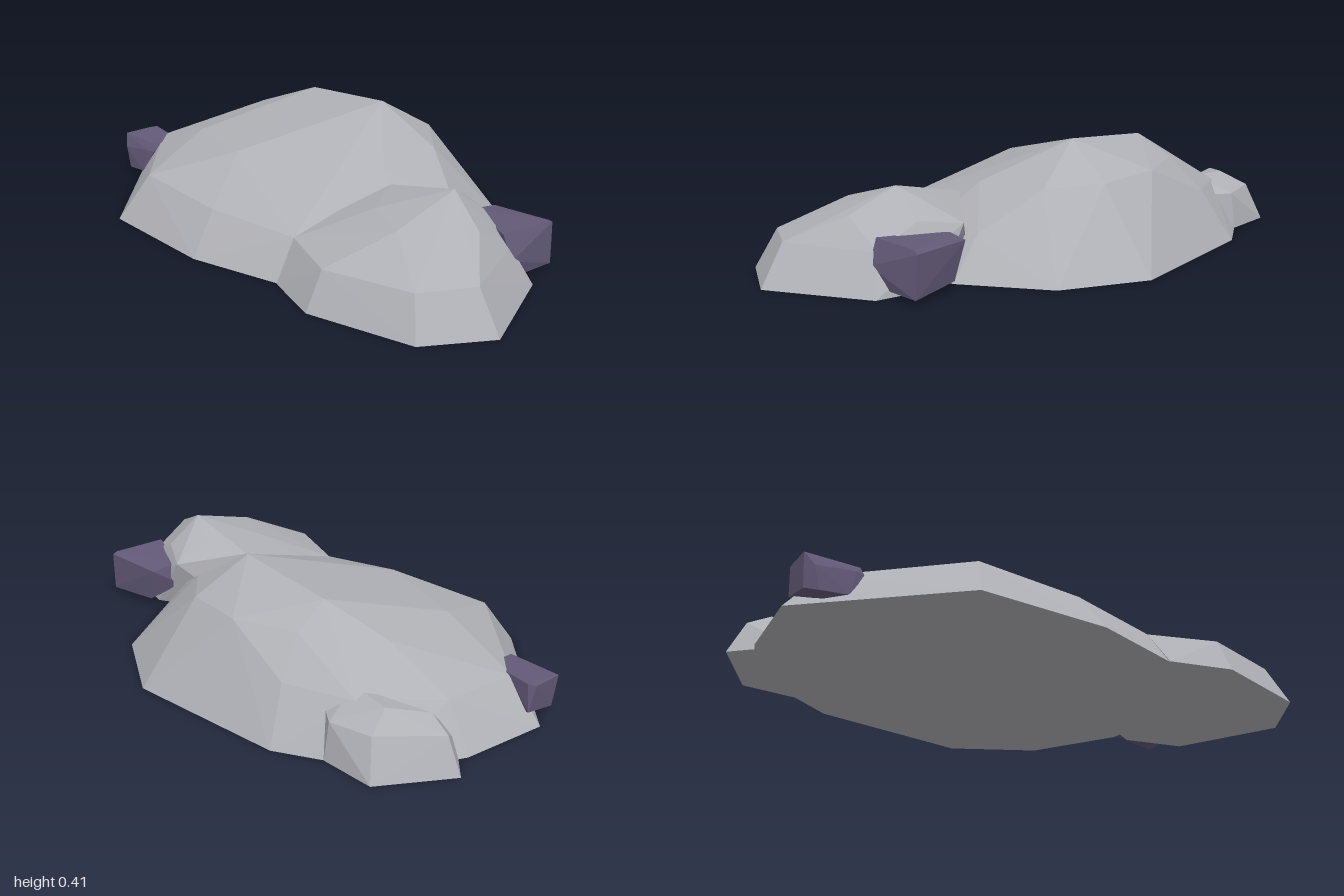
import * as THREE from 'three';
import { ConvexGeometry } from 'three/addons/geometries/ConvexGeometry.js';

export function createModel() {
  const group = new THREE.Group();
  const stone = new THREE.MeshStandardMaterial({ name: 'paleGreyStone', color: 0xb0b1b6, flatShading: true });
  const darkStone = new THREE.MeshStandardMaterial({ name: 'darkPurpleStone', color: 0x635a78, flatShading: true });

  // A faceted rock wrapped around a few [x, y, z] corners
  function rock(name, material, corners) {
    const points = corners.map(([x, y, z]) => new THREE.Vector3(x, y, z));
    const mesh = new THREE.Mesh(new ConvexGeometry(points), material);
    mesh.name = name;
    group.add(mesh);
  }

  // Ground outline given as [x, z] pairs
  const ground = (outline) => outline.map(([x, z]) => [x, 0, z]);

  // Large central mound: ground outline, shoulder ring, crown
  rock('mainMound', stone, [
    ...ground([[-0.51, 0.615], [-0.05, 0.6], [0.3, 0.49], [0.56, 0.15], [0.54, -0.18], [0.36, -0.47],
      [0.07, -0.62], [-0.51, -0.54], [-0.84, -0.34], [-0.94, -0.1], [-0.97, 0.21]]),
    [-0.46, 0.16, 0.51], [-0.08, 0.145, 0.495], [0.26, 0.13, 0.41], [-0.85, 0.14, 0.2],
    [-0.83, 0.15, -0.08], [-0.67, 0.17, -0.33], [-0.45, 0.18, -0.44], [0.42, 0.14, -0.17],
    [-0.21, 0.27, 0.29], [-0.54, 0.25, 0.22], [-0.6, 0.28, -0.12], [-0.4, 0.3, -0.33],
    [-0.18, 0.295, -0.42], [0.05, 0.285, -0.4], [0.21, 0.27, -0.27], [0.24, 0.26, 0.0],
    [-0.38, 0.37, -0.2], [0, 0.405, -0.21],
  ]);

  // Lower mound at the front left
  rock('sideMound', stone, [
    ...ground([[0.28, 0.5], [0.5, 0.555], [0.87, 0.44], [1, 0.22], [0.82, -0.13], [0.6, -0.18], [0.3, 0.0]]),
    [0.5, 0.13, 0.49], [0.81, 0.135, 0.39], [0.91, 0.14, 0.22], [0.26, 0.13, 0.41], [0.26, 0.17, 0.25],
    [0.42, 0.23, 0.2], [0.6, 0.23, 0.27], [0.76, 0.225, 0.07], [0.31, 0.235, 0.03],
    [0.6, 0.305, 0.02], [0.46, 0.25, -0.03], [0.48, 0.19, -0.17], [0.62, 0.21, -0.1], [0.76, 0.13, -0.08],
  ]);

  // Small lump at the back right
  rock('backLump', stone, [
    ...ground([[-1, -0.2], [-0.855, -0.44], [-0.66, -0.45], [-0.6, -0.36], [-0.83, -0.04]]),
    [-0.94, 0.12, -0.2], [-0.81, 0.135, -0.395], [-0.66, 0.13, -0.43], [-0.6, 0.13, -0.39],
    [-0.62, 0.185, -0.29], [-0.77, 0.18, -0.3], [-0.86, 0.16, -0.19],
  ]);

  // Dark loose rocks resting against the mounds
  rock('darkRockRight', darkStone, [
    [-0.95, 0.145, 0.2], [-0.95, 0.145, 0.31], [-0.93, 0.15, 0.18], [-0.84, 0.15, 0.19], [-0.755, 0.148, 0.21],
    [-0.76, 0.148, 0.3], [-0.75, 0.12, 0.31], [-0.8, 0.03, 0.33], [-0.9, 0.02, 0.33], [-0.94, 0.03, 0.3],
    [-0.94, 0.05, 0.18], [-0.82, 0.02, 0.22], [-0.92, 0.1, 0.33], [-0.78, 0.12, 0.32],
  ]);
  rock('darkRockLeft', darkStone, [
    [0.54, 0.16, -0.24], [0.765, 0.175, -0.255], [0.77, 0.165, -0.27], [0.75, 0.175, -0.055], [0.53, 0.17, -0.14],
    [0.785, 0.09, -0.06], [0.775, 0.02, -0.265], [0.77, 0.02, -0.13], [0.51, 0.09, -0.14], [0.58, 0.03, -0.23],
    [0.6, 0.03, -0.12],
  ]);

  return group;
}
